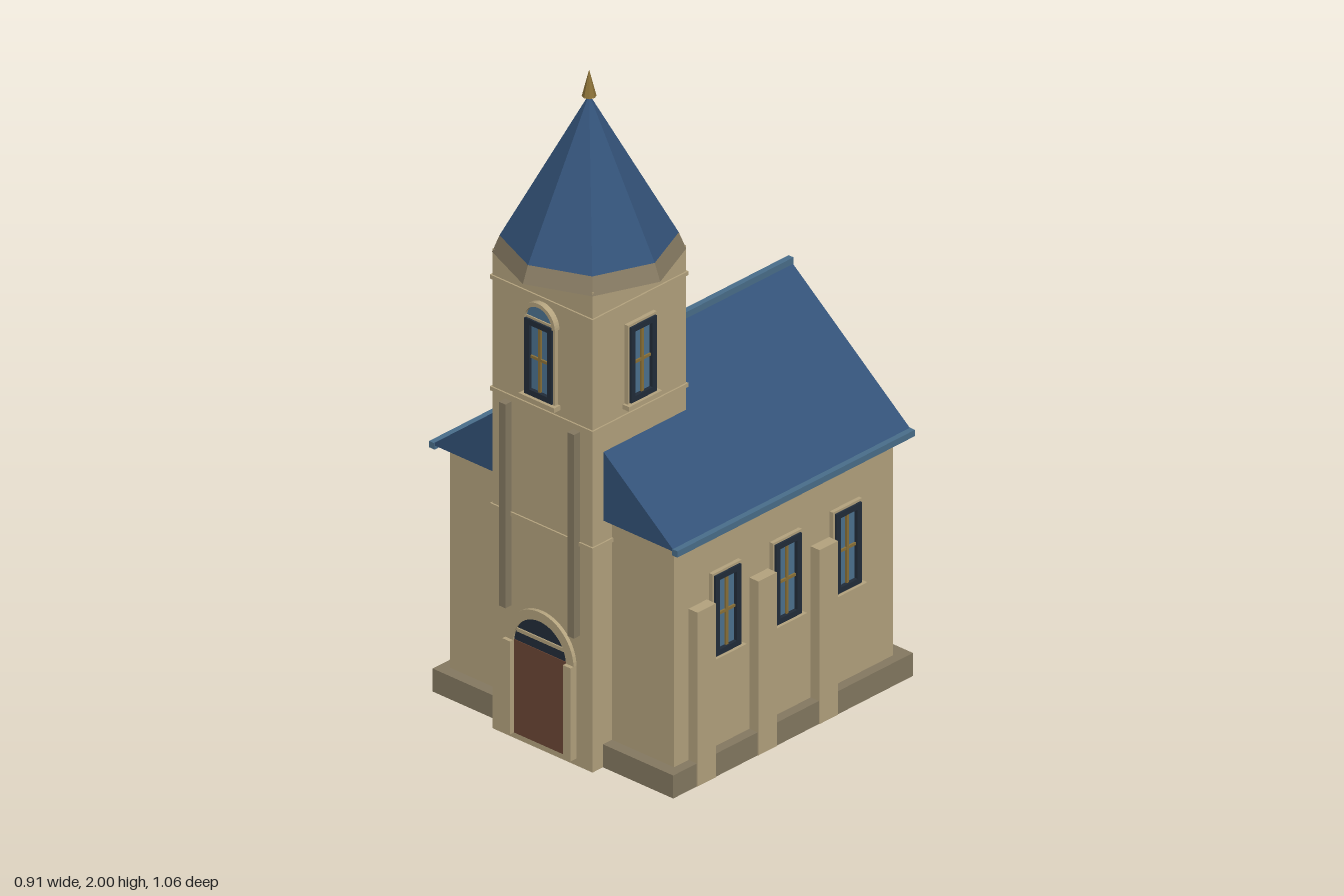
import * as THREE from 'three';

const mat = (name, color, side = THREE.FrontSide) => {
  const m = new THREE.MeshStandardMaterial({ color, side });
  m.name = name;
  return m;
};

export function createModel() {
  const wall = mat('wall plaster', 0xb5a47f);
  const stone = mat('dark stone', 0x867a62);
  const roofBlue = mat('roof slate', 0x335278);
  const trimBlue = mat('roof trim', 0x4a6f8c);
  const glass = mat('window glass', 0x4d7391);
  const dark = mat('dark frame', 0x222d3a);
  const gold = mat('gold', 0x8c7238);
  const wood = mat('door wood', 0x6c4635);

  const church = new THREE.Group();
  church.name = 'church';

  const add = (parent, name, geometry, material, x = 0, y = 0, z = 0) => {
    const mesh = new THREE.Mesh(geometry, material);
    mesh.name = name;
    mesh.position.set(x, y, z);
    parent.add(mesh);
    return mesh;
  };
  // Box given by its lower and upper limits on each axis
  const box = (parent, name, material, x0, x1, y0, y1, z0, z1) =>
    add(parent, name, new THREE.BoxGeometry(x1 - x0, y1 - y0, z1 - z0), material,
      (x0 + x1) / 2, (y0 + y1) / 2, (z0 + z1) / 2);
  const extrude = (shape, depth) =>
    new THREE.ExtrudeGeometry(shape, { depth, bevelEnabled: false, curveSegments: 12 });

  // Rectangular ring centred on the origin
  const ring = (w, h, t, depth) => {
    const rect = (Type, a, b) => {
      const s = new Type();
      s.moveTo(-a, -b).lineTo(a, -b).lineTo(a, b).lineTo(-a, b).closePath();
      return s;
    };
    const s = rect(THREE.Shape, w / 2, h / 2);
    s.holes.push(rect(THREE.Path, w / 2 - t, h / 2 - t));
    return extrude(s, depth);
  };
  // Half ring or half disc, springing from y = 0
  const arch = (outer, inner, depth) => {
    const s = new THREE.Shape();
    s.absarc(0, 0, outer, 0, Math.PI, false);
    if (inner > 0) s.absarc(0, 0, inner, Math.PI, 0, true);
    s.closePath();
    return extrude(s, depth);
  };

  // Window facing +z, standing on a wall at z = 0
  const makeWindow = (name, h) => {
    const g = new THREE.Group();
    g.name = name;
    add(g, 'windowSurround', ring(0.114, h + 0.014, 0.008, 0.012), wall);
    add(g, 'windowFrame', ring(0.1, h, 0.017, 0.018), dark);
    box(g, 'windowGlass', glass, -0.034, 0.034, -h / 2 + 0.015, h / 2 - 0.015, 0, 0.007);
    box(g, 'mullion', gold, -0.004, 0.004, -h / 2 + 0.017, h / 2 - 0.017, 0.006, 0.013);
    box(g, 'crossBar', gold, -0.034, 0.034, -0.004, 0.004, 0.006, 0.012);
    box(g, 'windowSill', wall, -0.065, 0.065, -h / 2 - 0.017, -h / 2 - 0.003, 0, 0.024);
    return g;
  };

  // Nave: plinth, walls and roof
  box(church, 'plinth', stone, -0.44, 0.44, 0, 0.07, -0.53, 0.41);
  box(church, 'naveWalls', wall, -0.41, 0.41, 0.07, 0.752, -0.485, 0.375);
  const gable = new THREE.Shape();
  gable.moveTo(-0.445, 0.75).lineTo(0.445, 0.75).lineTo(0, 1.105).closePath();
  add(church, 'naveRoof', extrude(gable, 0.93), roofBlue, 0, 0, -0.522);
  box(church, 'ridgeCap', trimBlue, -0.009, 0.009, 1.092, 1.117, -0.524, 0.2);

  // Eaves, buttresses and windows on both sides of the nave
  for (const s of [-1, 1]) {
    const eave = box(church, 'eaveTrim', trimBlue, -0.01, 0.01, 0.738, 0.757, -0.523, 0.409);
    eave.position.x = s * 0.444;
    for (const z of [0.282, 0.043, -0.197]) {
      const b = box(church, 'buttress', wall, -0.022, 0.022, 0.001, 0.53, z - 0.036, z + 0.036);
      b.position.x = s * 0.421;
    }
    for (const z of [0.18, -0.057, -0.293]) {
      const w = makeWindow('naveWindow', 0.245);
      w.position.set(s * 0.41, 0.477, z);
      w.rotation.y = s * Math.PI / 2;
      church.add(w);
    }
  }

  // Tower shaft with thin string courses
  const tower = new THREE.Group();
  tower.name = 'tower';
  tower.position.z = 0.268;
  church.add(tower);
  const r = 0.183;
  box(tower, 'towerShaft', wall, -r, r, 0, 1.46, -r, r);
  for (const y of [0.68, 1.035, 1.375]) {
    const b = r + 0.005;
    box(tower, 'stringCourse', wall, -b, b, y - 0.006, y + 0.006, -b, b);
  }

  // Octagonal spire with a flared skirt and finial
  add(tower, 'spireSkirt', new THREE.CylinderGeometry(0.24, 0.26, 0.05, 8).toNonIndexed(), stone, 0, 1.475, 0);
  add(tower, 'spire', new THREE.ConeGeometry(0.24, 0.425, 8).toNonIndexed(), roofBlue, 0, 1.7125, 0);
  add(tower, 'finial', new THREE.ConeGeometry(0.02, 0.08, 8).toNonIndexed(), gold, 0, 1.96, 0);
  for (const m of tower.children.slice(-3)) m.geometry.computeVertexNormals();

  // Tower windows: arched at the front, plain on the sides
  const front = makeWindow('frontWindow', 0.23);
  front.position.set(0, 1.192, r);
  add(front, 'windowArch', arch(0.062, 0.05, 0.018), wall, 0, 0.112, 0);
  add(front, 'lunetteGlass', arch(0.05, 0, 0.008), glass, 0, 0.112, 0);
  tower.add(front);
  for (const s of [-1, 1]) {
    const w = makeWindow('sideWindow', 0.23);
    w.position.set(s * r, 1.192, 0);
    w.rotation.y = s * Math.PI / 2;
    tower.add(w);
  }

  // Front pilaster strips and door jambs
  for (const s of [-1, 1]) {
    const strip = box(tower, 'pilasterStrip', stone, -0.012, 0.012, 0.4, 1.02, r - 0.01, r + 0.024);
    strip.position.x = s * 0.125;
    const jamb = box(tower, 'doorJamb', wall, -0.014, 0.014, 0.022, 0.305, r - 0.01, r + 0.024);
    jamb.position.x = s * 0.111;
  }

  // Arched doorway
  box(tower, 'door', wood, -0.097, 0.097, 0.022, 0.306, r, r + 0.008);
  add(tower, 'doorFanlight', arch(0.098, 0, 0.006), dark, 0, 0.3, r);
  add(tower, 'doorArch', arch(0.125, 0.097, 0.012), wall, 0, 0.3, r);
  box(tower, 'fanlightBar', wall, -0.086, 0.086, 0.335, 0.346, r, r + 0.01);

  return church;
}
